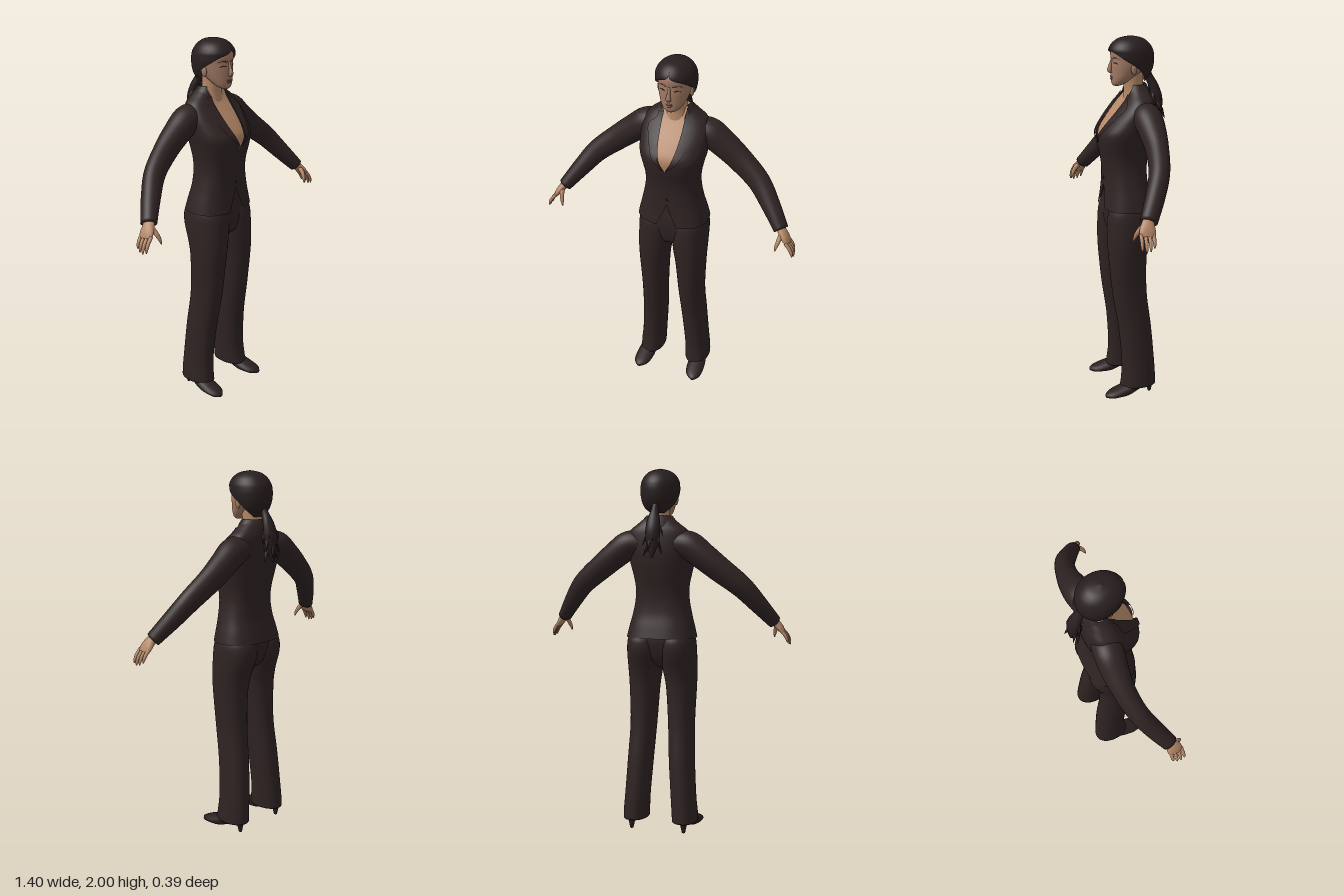
import * as THREE from 'three';

const mat = (name, color) =>
  Object.assign(new THREE.MeshStandardMaterial({ color, side: THREE.DoubleSide }), { name });

// Catmull-Rom interpolation of a table of rows, t in 0..1
function rowAt(rows, t) {
  const f = THREE.MathUtils.clamp(t, 0, 1) * (rows.length - 1);
  const i = Math.min(Math.floor(f), rows.length - 2), k = f - i;
  const a = rows[Math.max(i - 1, 0)], b = rows[i], c = rows[i + 1], d = rows[Math.min(i + 2, rows.length - 1)];
  return b.map((v, j) => v + 0.5 * k * (c[j] - a[j] + k * (2 * a[j] - 5 * v + 4 * c[j] - d[j] + k * (3 * (v - c[j]) + d[j] - a[j]))));
}

// Surface through a grid of points; closed joins the last column to the first
function surface(point, nt, na, closed, cap) {
  const pos = [], idx = [], cols = closed ? na : na + 1;
  for (let i = 0; i <= nt; i++)
    for (let j = 0; j < cols; j++) pos.push(...point(i / nt, j / na));
  for (let i = 0; i < nt; i++)
    for (let j = 0; j < na; j++) {
      const k = (j + 1) % cols, a = i * cols + j, b = i * cols + k;
      idx.push(a, b, b + cols, a, b + cols, a + cols);
    }
  if (cap) for (const end of [0, nt]) {
    const centre = [0, 0, 0], c = pos.length / 3;
    for (let j = 0; j < cols; j++) for (let m = 0; m < 3; m++) centre[m] += pos[(end * cols + j) * 3 + m] / cols;
    pos.push(...centre);
    for (let j = 0; j < na; j++) {
      const a = end * cols + j, b = end * cols + (j + 1) % cols;
      idx.push(c, end ? a : b, end ? b : a);
    }
  }
  const g = new THREE.BufferGeometry();
  g.setAttribute('position', new THREE.Float32BufferAttribute(pos, 3));
  g.setIndex(idx);
  g.computeVertexNormals();
  return g;
}

// Horizontal ring: row = [y, halfWidth, zFront, zBack, frontGapAngle]
const power = (v, p) => Math.sign(v) * Math.abs(v) ** p;
const ringPoint = ([y, rx, zf, zb], a, p = 1, cx = 0, grow = 0) => [
  cx + (Math.max(rx, 0) + grow) * power(Math.sin(a), p), y,
  (zf + zb) / 2 + ((zf - zb) / 2 + grow) * power(Math.cos(a), p)];

const loft = (rows, { p = 1, nt = 40, na = 40 } = {}) =>
  surface((t, s) => ringPoint(rowAt(rows, t), s * Math.PI * 2, p), nt, na, true, true);

const openLoft = (rows, { p = 1, nt = 60, na = 56 } = {}) =>
  surface((t, s) => {
    const r = rowAt(rows, t), gap = Math.max(r[4], 0);
    return ringPoint(r, gap + s * (2 * Math.PI - 2 * gap), p);
  }, nt, na, false, false);

// Tapering tube: row = [x, y, z, radius along ref, radius across]
function limb(rows, { ref = [0, 0, 1], nt = 24, na = 18, side = 1 } = {}) {
  rows = rows.map(([x, ...r]) => [x * side, ...r]);
  const at = t => new THREE.Vector3(...rowAt(rows, t).slice(0, 3));
  return surface((t, s) => {
    const r = rowAt(rows, t), a = s * Math.PI * 2;
    const T = at(t + 0.01).sub(at(t - 0.01)).normalize();
    const u = new THREE.Vector3(...ref);
    u.addScaledVector(T, -u.dot(T)).normalize();
    const v = T.clone().cross(u);
    return at(t).addScaledVector(u, Math.max(r[3], 0.0005) * Math.cos(a))
      .addScaledVector(v, Math.max(r[4], 0.0005) * Math.sin(a)).toArray();
  }, nt, na, true, true);
}

export function createModel() {
  const model = new THREE.Group();
  model.name = 'womanInTrouserSuit';
  const suit = mat('suitBrown', 0x2f2323), hairMat = mat('hairBrown', 0x281e1f), shoeMat = mat('shoeBrown', 0x2a1f1f);
  const skin = mat('skin', 0xb58868), faceMat = mat('faceSkin', 0xa27a63);
  const lipMat = mat('lips', 0x87594c), lashMat = mat('lashes', 0x4a352d);
  const add = (name, geometry, material) => {
    const m = new THREE.Mesh(geometry, material);
    m.name = name;
    model.add(m);
    return m;
  };

  // Jacket body, open at the neckline and below the button
  const jacket = [
    [1.09, 0.195, 0.162, -0.12, 0.22], [1.15, 0.181, 0.153, -0.105, 0.1], [1.22, 0.163, 0.147, -0.087, 0],
    [1.3, 0.148, 0.147, -0.082, 0], [1.37, 0.147, 0.157, -0.09, 0], [1.44, 0.16, 0.173, -0.105, 0],
    [1.5, 0.175, 0.174, -0.115, 0.12], [1.56, 0.181, 0.135, -0.12, 0.2], [1.62, 0.18, 0.085, -0.118, 0.24],
    [1.67, 0.16, 0.045, -0.112, 0.29], [1.705, 0.118, 0.025, -0.1, 0.42], [1.735, 0.08, 0.015, -0.088, 0.8]];
  const P = 0.8;
  add('jacket', openLoft(jacket, { p: P }), suit);
  add('collar', openLoft([[1.69, 0.112, 0.04, -0.11, 0.75], [1.725, 0.092, 0.035, -0.101, 0.85],
    [1.752, 0.07, 0.025, -0.087, 1.05]], { nt: 10 }), suit);

  // Lapels lie just above the jacket along its opening
  const lapelWidth = [[0.02], [0.16], [0.24], [0.34], [0.44], [0.2], [0.25]];
  for (const side of [1, -1])
    add(side > 0 ? 'leftLapel' : 'rightLapel', surface((t, s) => {
      const r = rowAt(jacket, (5.2 + t * 4.8) / (jacket.length - 1));
      return ringPoint(r, side * (Math.max(r[4], 0) + s * rowAt(lapelWidth, t)[0]), P, 0, 0.008);
    }, 30, 8, false, false), suit);
  const button = add('button', new THREE.CylinderGeometry(0.008, 0.008, 0.006, 14), shoeMat);
  button.rotation.x = Math.PI / 2;
  button.position.set(0, 1.25, 0.148);

  // Chest and neck
  add('chest', loft(jacket.slice(4).map(([y, rx, zf, zb]) => [y, rx - 0.014, zf - 0.012, zb + 0.014]), { p: P }), skin);
  add('neck', loft([[1.66, 0.075, 0.035, -0.085], [1.71, 0.057, 0.03, -0.078], [1.76, 0.052, 0.033, -0.072],
    [1.83, 0.055, 0.04, -0.075]], { nt: 16 }), skin);

  // Head
  const head = [
    [1.744, 0.018, 0.088, 0.05], [1.757, 0.042, 0.097, 0.025], [1.785, 0.062, 0.1, -0.02], [1.82, 0.077, 0.101, -0.07],
    [1.85, 0.085, 0.101, -0.095], [1.88, 0.089, 0.098, -0.1], [1.92, 0.088, 0.1, -0.1], [1.96, 0.066, 0.075, -0.075],
    [1.98, 0.02, 0.02, -0.03]];
  add('head', loft(head), faceMat);
  add('nose', limb([[0, 1.885, 0.094, 0.006, 0.006], [0, 1.85, 0.104, 0.01, 0.008], [0, 1.826, 0.11, 0.011, 0.014],
    [0, 1.815, 0.1, 0.006, 0.012]], { nt: 12 }), faceMat);
  add('upperLip', limb([[-0.024, 1.789, 0.092, 0.002, 0.002], [0, 1.792, 0.1, 0.006, 0.005],
    [0.024, 1.789, 0.092, 0.002, 0.002]]), lipMat);
  add('lowerLip', limb([[-0.02, 1.785, 0.093, 0.002, 0.002], [0, 1.78, 0.1, 0.006, 0.005],
    [0.02, 1.785, 0.093, 0.002, 0.002]]), lipMat);
  for (const side of [1, -1]) {
    const name = side > 0 ? 'left' : 'right';
    add(name + 'Lashes', limb([[0.02, 1.861, 0.096, 0.001, 0.001], [0.036, 1.866, 0.091, 0.003, 0.003],
      [0.054, 1.862, 0.079, 0.001, 0.001]], { side, nt: 10, na: 8 }), lashMat);
    add(name + 'Brow', limb([[0.016, 1.886, 0.096, 0.002, 0.003], [0.038, 1.892, 0.089, 0.002, 0.003],
      [0.06, 1.886, 0.073, 0.001, 0.001]], { side, nt: 10, na: 8 }), lashMat);
    const ear = add(name + 'Ear', new THREE.SphereGeometry(1, 14, 10), faceMat);
    ear.scale.set(0.01, 0.028, 0.016);
    ear.position.set(side * 0.086, 1.835, 0.002);
  }

  // Swept-back hair with a ragged ponytail
  add('hair', openLoft([
    [1.765, 0.05, 0, -0.085, 2.2], [1.8, 0.083, 0.04, -0.11, 1.8], [1.84, 0.099, 0.08, -0.127, 1.5],
    [1.88, 0.106, 0.104, -0.132, 1.05], [1.91, 0.105, 0.11, -0.13, 0.65], [1.935, 0.1, 0.11, -0.122, 0.08],
    [1.965, 0.082, 0.09, -0.1, 0], [1.988, 0.05, 0.055, -0.065, 0], [2, 0.001, -0.004, -0.006, 0]]), hairMat);
  add('ponytail', limb([
    [0, 1.82, -0.09, 0.02, 0.02], [0, 1.78, -0.11, 0.022, 0.02], [0, 1.73, -0.135, 0.026, 0.034],
    [0, 1.67, -0.15, 0.032, 0.04], [0, 1.6, -0.158, 0.024, 0.032], [0, 1.53, -0.17, 0.003, 0.004]]), hairMat);
  for (let i = 0; i < 12; i++) {
    const y = 1.74 - 0.012 * i, a = i * 2.4, sx = Math.sin(a), sz = Math.cos(a);
    const z = -0.135 - 0.002 * i;
    add('ponytailLock', limb([[0.015 * sx, y, z + 0.01 * sz, 0.012, 0.012],
      [0.036 * sx, y - 0.03, z + 0.025 * sz, 0.011, 0.008],
      [0.055 * sx, y - 0.075, z - 0.012 + 0.03 * sz, 0.001, 0.001]], { nt: 8, na: 8 }), hairMat);
  }

  // Trouser seat
  add('trouserSeat', loft([[1.2, 0.15, 0.125, -0.07], [1.09, 0.182, 0.14, -0.1], [1.0, 0.165, 0.135, -0.085],
    [0.95, 0.1, 0.115, -0.055], [0.92, 0.02, 0.05, -0.01]].reverse(), { p: P }), suit);

  for (const side of [1, -1]) {
    const name = side > 0 ? 'left' : 'right';

    // Trouser leg: [y, inner x, outer x, front z, back z]
    const leg = [
      [0.055, 0.073, 0.214, 0.1, -0.106], [0.1, 0.071, 0.212, 0.093, -0.105], [0.2, 0.065, 0.203, 0.086, -0.1],
      [0.4, 0.05, 0.191, 0.1, -0.085], [0.6, 0.038, 0.183, 0.13, -0.062], [0.8, 0.024, 0.19, 0.149, -0.06],
      [0.9, 0.008, 0.194, 0.154, -0.075], [1.0, -0.005, 0.194, 0.153, -0.108], [1.06, -0.005, 0.191, 0.147, -0.112],
      [1.1, 0, 0.182, 0.135, -0.1], [1.18, 0.01, 0.155, 0.115, -0.07]];
    add(name + 'TrouserLeg', surface((t, s) => {
      const [y, xi, xo, zf, zb] = rowAt(leg, t);
      return ringPoint([y, (xo - xi) / 2, zf, zb], s * Math.PI * 2, 0.92, side * (xo + xi) / 2);
    }, 50, 32, true, true), suit);

    // Heeled shoe
    add(name + 'Shoe', limb([
      [0.15, 0.08, -0.09, 0.03, 0.025], [0.152, 0.075, -0.06, 0.04, 0.034], [0.155, 0.064, 0, 0.045, 0.034],
      [0.16, 0.037, 0.07, 0.052, 0.034], [0.165, 0.026, 0.13, 0.05, 0.025], [0.17, 0.019, 0.17, 0.037, 0.018],
      [0.172, 0.015, 0.195, 0.01, 0.008]], { ref: [1, 0, 0], side }), shoeMat);
    add(name + 'Heel', new THREE.CylinderGeometry(0.022, 0.009, 0.06, 14), shoeMat)
      .position.set(side * 0.152, 0.03, -0.07);

    // Sleeve
    add(name + 'Sleeve', limb([
      [0.1, 1.6, -0.04, 0.068, 0.066], [0.17, 1.592, -0.043, 0.077, 0.077], [0.25, 1.535, -0.045, 0.07, 0.073],
      [0.34, 1.465, -0.038, 0.059, 0.068], [0.45, 1.377, -0.01, 0.053, 0.06], [0.53, 1.285, 0.038, 0.05, 0.05],
      [0.612, 1.183, 0.1, 0.044, 0.037]], { side, nt: 40, na: 28 }), suit);

    // Hand with four fingers and a thumb
    add(name + 'Palm', limb([
      [0.595, 1.205, 0.09, 0.025, 0.02], [0.622, 1.175, 0.107, 0.033, 0.021], [0.643, 1.148, 0.116, 0.041, 0.018],
      [0.66, 1.122, 0.121, 0.038, 0.011]], { side, nt: 14 }), skin);
    for (let k = 0; k < 4; k++) {
      const z = 0.09 + 0.021 * k, len = [0.8, 0.95, 1, 0.9][k], w = 0.0095;
      add(name + 'Finger', limb([
        [0.65, 1.137, z, w, w], [0.65 + 0.026 * len, 1.137 - 0.03 * len, z + 0.002, w, w],
        [0.65 + 0.041 * len, 1.137 - 0.058 * len, z + 0.004, 0.008, 0.008],
        [0.65 + 0.046 * len, 1.137 - 0.08 * len, z + 0.005, 0.003, 0.003]], { side, nt: 10, na: 10 }), skin);
    }
    add(name + 'Thumb', limb([
      [0.618, 1.17, 0.125, 0.014, 0.012], [0.614, 1.145, 0.15, 0.013, 0.012], [0.606, 1.115, 0.167, 0.009, 0.009],
      [0.602, 1.09, 0.174, 0.003, 0.003]], { side, nt: 10, na: 10 }), skin);
  }
  return model;
}
